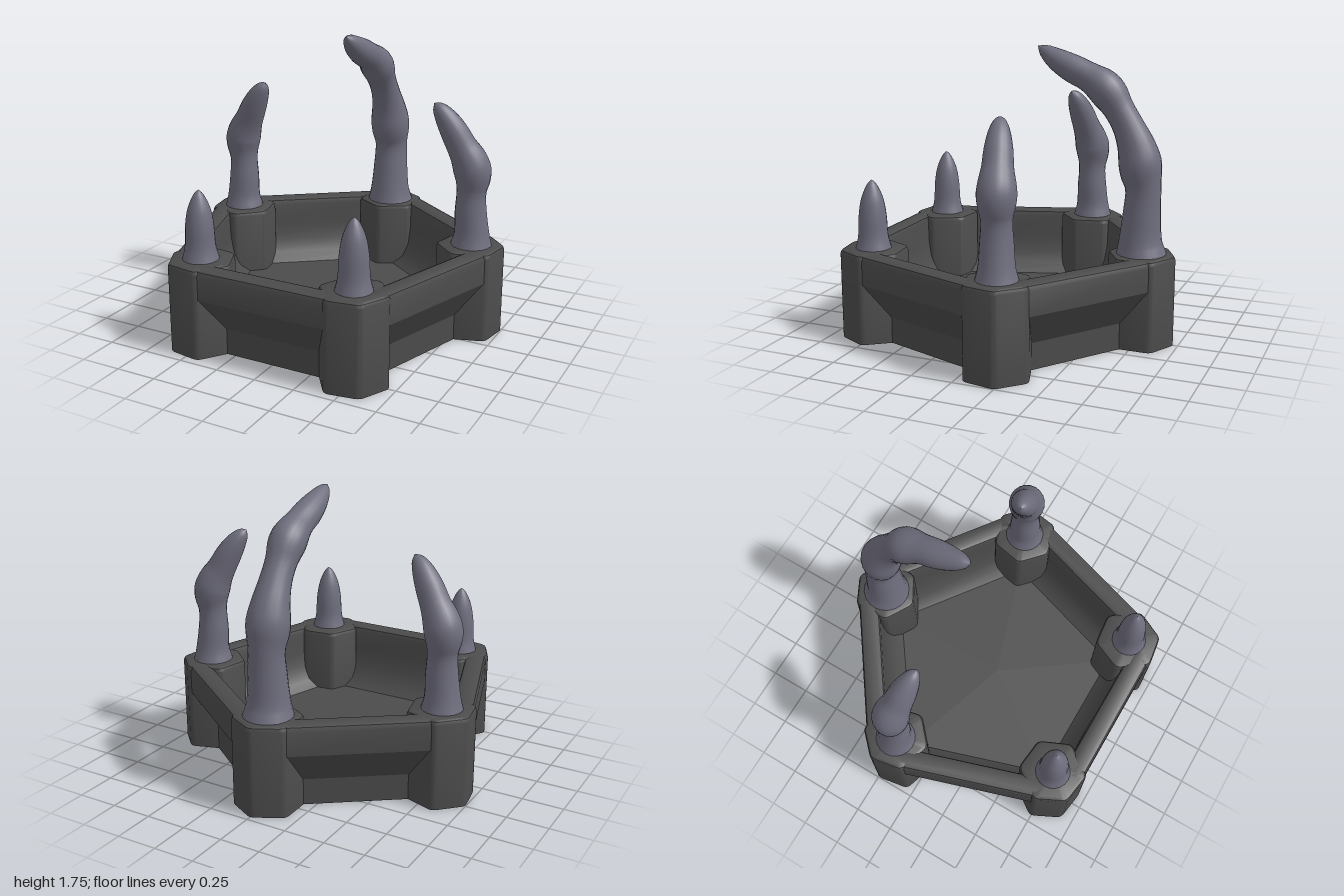
import * as THREE from 'three';
import { toCreasedNormals } from 'three/addons/utils/BufferGeometryUtils.js';

const STEP = Math.PI * 2 / 5;
const CENTRE_Z = 0.076;   // centre of the pentagon
const POST_R = 0.846;     // distance of the posts from it

// Skin a stack of closed rings, each running anticlockwise seen from above
function loft(rings) {
  const n = rings[0].length, index = [];
  for (let i = 0; i < rings.length - 1; i++) {
    for (let j = 0; j < n; j++) {
      const k = (j + 1) % n;
      const a = i * n + j, b = i * n + k, c = a + n, d = b + n;
      index.push(a, b, d, a, d, c);
    }
  }
  const geo = new THREE.BufferGeometry().setFromPoints(rings.flat());
  geo.setIndex(index);
  geo.computeVertexNormals();
  return geo;
}

// Six-sided post with softened corners and a chamfered top
function postGeometry() {
  const hex = [[0, 0.205], [0.183, 0.11], [0.183, -0.11], [0, -0.215], [-0.183, -0.11], [-0.183, 0.11]]
    .map(([x, z]) => new THREE.Vector3(x, 0, z));
  const outline = [];
  hex.forEach((p, i) => {
    const prev = hex[(i + 5) % 6], next = hex[(i + 1) % 6];
    const from = p.clone().lerp(prev, 0.14), to = p.clone().lerp(next, 0.14);
    const bend = new THREE.QuadraticBezierCurve3(from, p, to);
    outline.push(...bend.getPoints(3));
  });
  const levels = [[0, 0], [1, 0], [1, 0.525], [0.96, 0.543], [0.89, 0.55], [0, 0.55]];
  const rings = levels.map(([s, y]) => outline.map(p => new THREE.Vector3(p.x * s, y, p.z * s)));
  return toCreasedNormals(loft(rings), 0.5);
}

// Wall section: upright rim, undercut outside, dished inside
function wallGeometry() {
  const profile = [
    [0.60, 0], [0.73, 0], [0.73, 0.16], [0.864, 0.37], [0.864, 0.515], [0.855, 0.54], [0.832, 0.55],
    [0.765, 0.55], [0.743, 0.54], [0.735, 0.515], [0.73, 0.38], [0.71, 0.28], [0.67, 0.19], [0.60, 0.13],
  ].map(([r, y]) => new THREE.Vector2(r, y));
  const geo = new THREE.ExtrudeGeometry(new THREE.Shape(profile), { depth: 0.92, bevelEnabled: false });
  geo.translate(0, 0, -0.46);
  geo.rotateY(-Math.PI / 2);
  return toCreasedNormals(geo, 0.5);
}

// Finger from [inward, height, radius] stations
function fingerGeometry(stations) {
  const curve = new THREE.CatmullRomCurve3(stations.map(s => new THREE.Vector3(...s)));
  const rings = [], steps = stations.length * 3, sides = 20;
  for (let i = 0; i <= steps; i++) {
    const p = curve.getPoint(i / steps), t = curve.getTangent(i / steps);
    const len = Math.hypot(t.x, t.y) || 1;
    const ty = t.y / len, tz = -t.x / len, r = Math.max(p.z, 0);
    const ring = [];
    for (let j = 0; j < sides; j++) {
      const f = j / sides * Math.PI * 2, s = Math.sin(f) * r, c = Math.cos(f) * r;
      ring.push(new THREE.Vector3(s, p.y - tz * c, -p.x + ty * c));
    }
    rings.push(ring);
  }
  return loft(rings);
}

const TALL = [
  [0.01, 0.54, 0.15], [0.015, 0.62, 0.128], [0.01, 0.78, 0.112], [0.005, 0.94, 0.105],
  [0.02, 1.03, 0.122], [0.03, 1.10, 0.125], [0.055, 1.19, 0.11], [0.105, 1.30, 0.092],
  [0.165, 1.40, 0.09], [0.22, 1.48, 0.106], [0.265, 1.525, 0.105], [0.35, 1.575, 0.087],
  [0.45, 1.62, 0.083], [0.55, 1.67, 0.066], [0.63, 1.72, 0.036], [0.668, 1.745, 0],
];
const MIDDLE = [
  [0, 0.54, 0.125], [0, 0.62, 0.105], [0.01, 0.75, 0.095], [0.01, 0.88, 0.088],
  [0.005, 0.96, 0.105], [0.012, 1.02, 0.112], [0.035, 1.08, 0.105], [0.075, 1.15, 0.09],
  [0.13, 1.25, 0.08], [0.185, 1.335, 0.06], [0.225, 1.385, 0.033], [0.245, 1.405, 0],
];
const SHORT = [
  [0, 0.54, 0.11], [0, 0.62, 0.091], [0, 0.75, 0.083], [0, 0.85, 0.066],
  [0, 0.92, 0.038], [0, 0.95, 0.018], [0, 0.965, 0],
];

export function createModel() {
  const model = new THREE.Group();
  model.name = 'clawTray';
  const stone = new THREE.MeshStandardMaterial({ color: 0x4b4b4b });
  stone.name = 'darkStone';
  const skin = new THREE.MeshStandardMaterial({ color: 0x6f6e7e });
  skin.name = 'greyFinger';

  const add = (parent, geo, mat, name) => {
    const mesh = new THREE.Mesh(geo, mat);
    mesh.name = name;
    parent.add(mesh);
    return mesh;
  };

  // Tray floor
  const floorGeo = toCreasedNormals(new THREE.CylinderGeometry(0.895, 0.895, 0.14, 5), 0.5);
  const floor = add(model, floorGeo, stone, 'floor');
  floor.position.set(0, 0.07, CENTRE_Z);
  floor.rotation.y = Math.PI;

  // Five walls, posts and fingers, starting from the back
  const postGeo = postGeometry(), wallGeo = wallGeometry();
  const tall = fingerGeometry(TALL), middle = fingerGeometry(MIDDLE), short = fingerGeometry(SHORT);
  const fingers = [
    [tall, 'tallFinger'], [middle, 'rightFinger'], [short, 'frontRightFinger'],
    [short, 'frontLeftFinger'], [middle, 'leftFinger'],
  ];
  fingers.forEach(([geo, name], i) => {
    const angle = Math.PI + i * STEP;
    const wall = add(model, wallGeo, stone, 'wall');
    wall.position.z = CENTRE_Z;
    wall.rotation.y = angle + STEP / 2;

    const corner = new THREE.Group();
    corner.name = 'corner';
    corner.position.set(Math.sin(angle) * POST_R, 0, CENTRE_Z + Math.cos(angle) * POST_R);
    corner.rotation.y = angle;
    add(corner, postGeo, stone, 'post');
    add(corner, geo, skin, name);
    model.add(corner);
  });
  return model;
}
